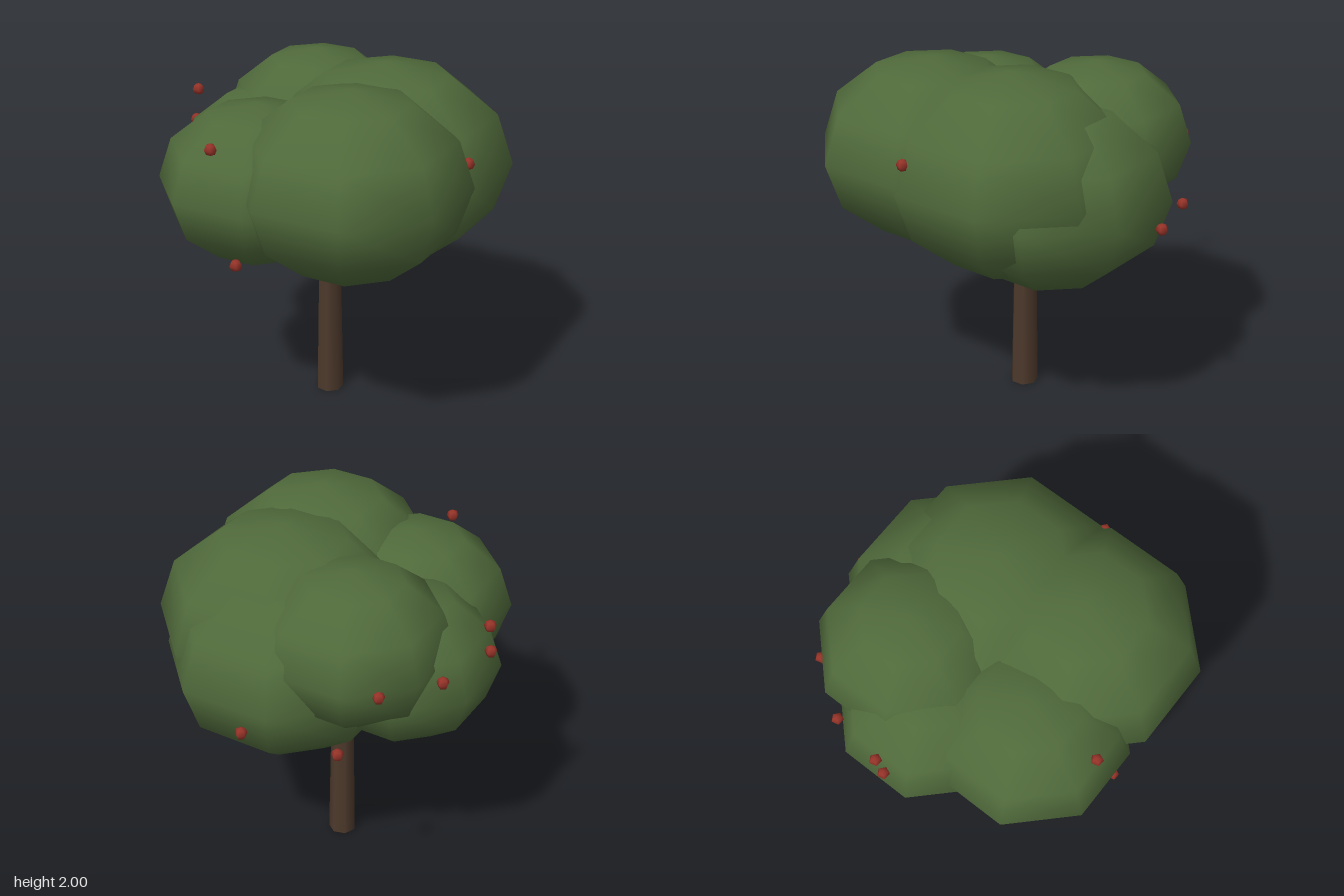
import * as THREE from 'three';

const material = (name, color) => {
  const m = new THREE.MeshStandardMaterial({ color });
  m.name = name;
  return m;
};

export function createModel() {
  const tree = new THREE.Group();
  tree.name = 'berryTree';
  const leaf = material('leaf green', 0x506a3b);
  const bark = material('bark brown', 0x4d392b);
  const red = material('berry red', 0x963328);

  const add = (parent, name, geometry, mat, x, y, z) => {
    const mesh = new THREE.Mesh(geometry, mat);
    mesh.name = name;
    mesh.position.set(x, y, z);
    parent.add(mesh);
  };

  // Tapered trunk, running up into the crown
  add(tree, 'trunk', new THREE.CylinderGeometry(0.056, 0.079, 1.3, 7), bark, 0.008, 0.65, -0.094);

  // Crown of overlapping flattened balls: x, y, z, radius
  const crown = new THREE.Group();
  crown.name = 'crown';
  tree.add(crown);
  [
    [-0.2, 1.49, 0.36, 0.64],
    [0.24, 1.45, 0.12, 0.69],
    [0.35, 1.35, -0.06, 0.65],
    [-0.455, 1.42, -0.11, 0.545],
    [-0.09, 1.36, -0.475, 0.525],
    [0.19, 1.54, -0.43, 0.525],
  ].forEach(([x, y, z, r], i) => {
    const ball = new THREE.SphereGeometry(r, 8, 6).scale(1, 0.8, 1);
    add(crown, `foliage${i + 1}`, ball, leaf, x, y, z);
  });

  // Small berries scattered over the crown
  const berries = new THREE.Group();
  berries.name = 'berries';
  tree.add(berries);
  const berry = new THREE.SphereGeometry(0.034, 5, 4).rotateY(-Math.PI / 2);
  [
    [-0.857, 1.735, 0.045],
    [-0.83, 1.14, 0.2],
    [0.25, 1.61, 0.76],
    [0.04, 1.515, -0.963],
    [0.38, 1.52, -0.883],
    [0.55, 1.185, -0.777],
    [-0.305, 1.69, -0.907],
    [-0.335, 1.52, -0.893],
    [0.88, 1.245, -0.41],
  ].forEach((p, i) => add(berries, `berry${i + 1}`, berry, red, ...p));

  return tree;
}
